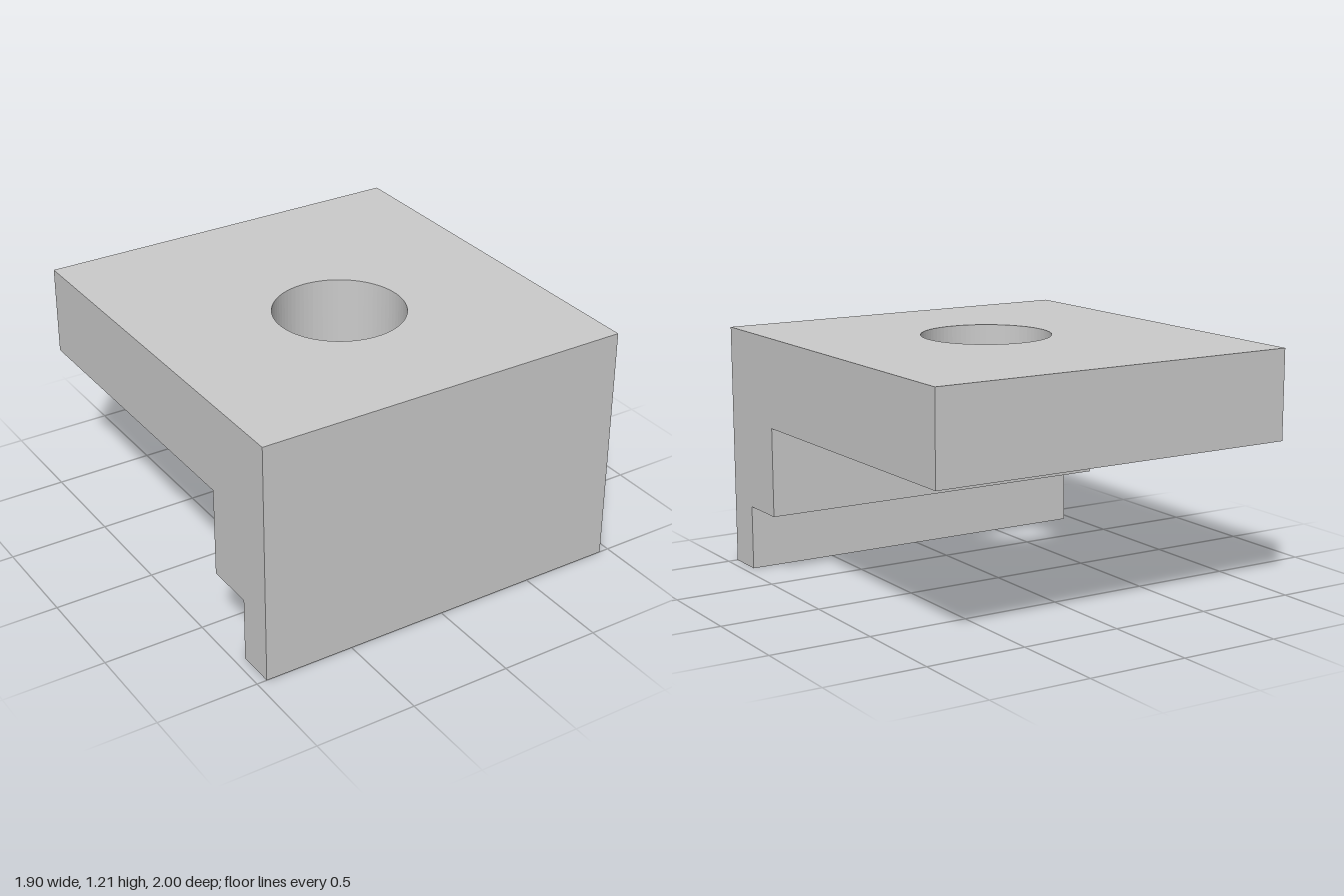
import * as THREE from 'three';

const HALF_W = 0.95, TOP = 1.207, UNDER = 0.763, STEP = 0.32;
const FRONT = 1, BACK = -1, LEG_Z = 0.56, LIP_Z = 0.81;

const material = new THREE.MeshStandardMaterial({ color: 0xcccccc, flatShading: true });

// Drops the hidden wall where the plate and the leg join, so they form one solid.
function openJoint(geometry) {
  const p = geometry.attributes.position;
  const onJoint = (i) => Math.abs(p.getZ(i) - LEG_Z) < 1e-4 && p.getY(i) > UNDER - 1e-4;
  const kept = [];
  for (let i = 0; i < p.count; i += 3) {
    if (onJoint(i) && onJoint(i + 1) && onJoint(i + 2)) continue;
    for (let k = i; k < i + 3; k++) kept.push(p.getX(k), p.getY(k), p.getZ(k));
  }
  const open = new THREE.BufferGeometry();
  open.setAttribute('position', new THREE.Float32BufferAttribute(kept, 3));
  open.computeVertexNormals();
  return open;
}

const outline = (points) => new THREE.Shape(points.map(([x, y]) => new THREE.Vector2(x, y)));

function addPart(group, name, geometry) {
  const mesh = new THREE.Mesh(openJoint(geometry), material);
  mesh.name = name;
  group.add(mesh);
}

export function createModel() {
  const group = new THREE.Group();
  group.name = 'bracket';

  // Top plate with a round through hole, drawn in plan (shape y = -z)
  const plan = outline([[-HALF_W, -LEG_Z], [HALF_W, -LEG_Z], [HALF_W, -BACK], [-HALF_W, -BACK]]);
  plan.holes.push(new THREE.Path().absarc(0, -0.11, 0.32, 0, Math.PI * 2, true));
  const plate = new THREE.ExtrudeGeometry(plan, { depth: TOP - UNDER, bevelEnabled: false, curveSegments: 40 });
  plate.rotateX(-Math.PI / 2).translate(0, UNDER, 0);
  addPart(group, 'topPlate', plate);

  // Stepped front leg, drawn in side profile (shape x = z)
  const profile = outline([
    [FRONT, 0], [FRONT, TOP], [LEG_Z, TOP], [LEG_Z, UNDER],
    [LEG_Z, STEP], [LIP_Z, STEP], [LIP_Z, 0],
  ]);
  const leg = new THREE.ExtrudeGeometry(profile, { depth: HALF_W * 2, bevelEnabled: false });
  leg.rotateY(-Math.PI / 2).translate(HALF_W, 0, 0);
  addPart(group, 'frontLeg', leg);

  return group;
}
